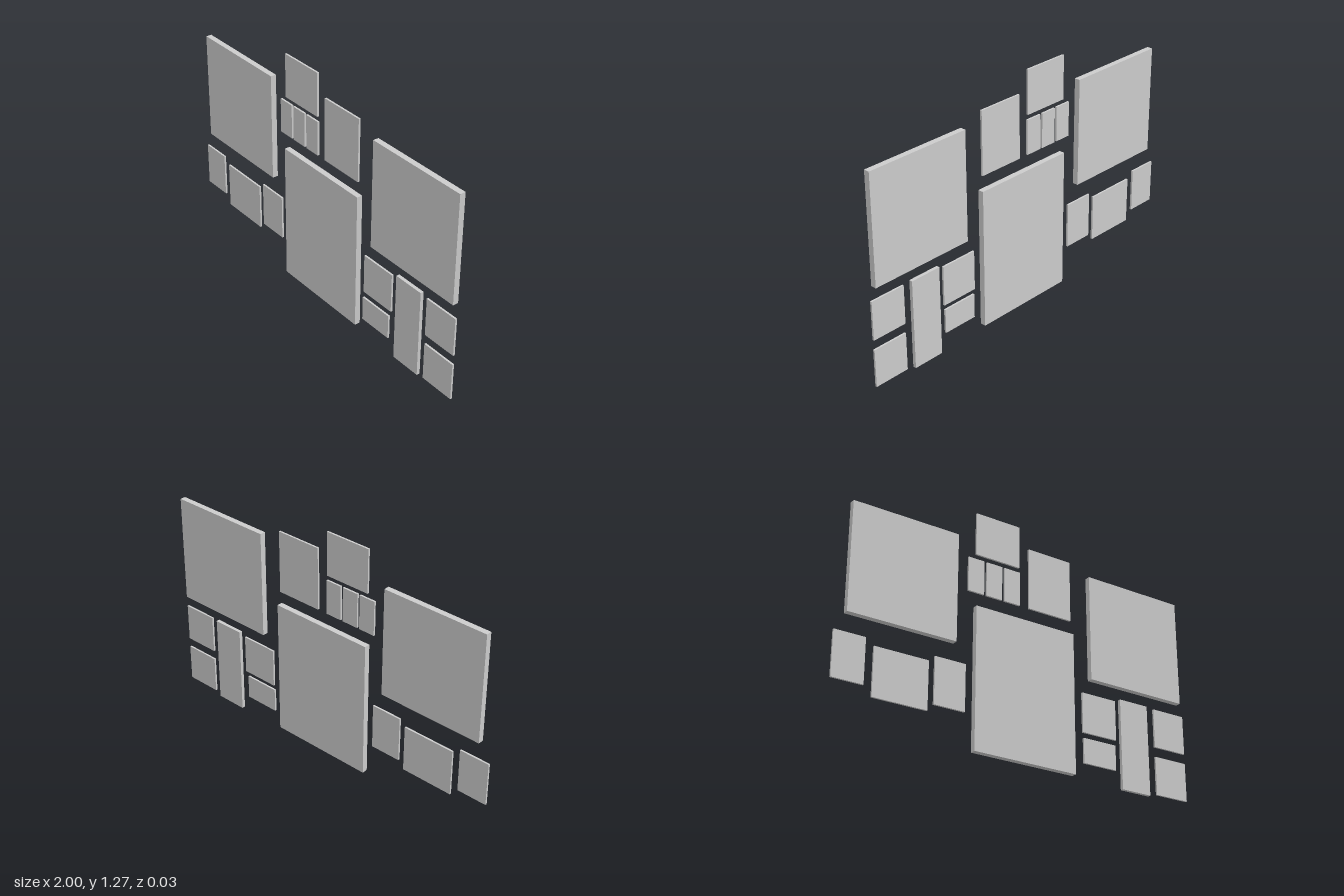
import * as THREE from 'three';

// A flat wall arrangement of plain rectangular panels
export function createModel() {
  const group = new THREE.Group();
  const material = new THREE.MeshStandardMaterial({ color: 0xcccccc });

  // Panel given by its edges, its thickness and the z of its middle
  function panel(name, x0, x1, y0, y1, depth = 0.01, z = 0) {
    const mesh = new THREE.Mesh(new THREE.BoxGeometry(x1 - x0, y1 - y0, depth), material);
    mesh.position.set((x0 + x1) / 2, (y0 + y1) / 2, z);
    mesh.name = name;
    group.add(mesh);
  }

  // Three large thick panels
  panel('largeRightPanel', -0.945, -0.373, 0.537, 1.109, 0.03);
  panel('largeLeftPanel', 0.412, 0.984, 0.537, 1.109, 0.03);
  panel('largeCentrePanel', -0.266, 0.306, 0.018, 0.755, 0.03);

  // Upper cluster
  panel('topPanel', -0.266, -0.014, 1.038, 1.268);
  panel('upperPortraitPanel', 0.044, 0.296, 0.83, 1.161);
  for (let i = 0; i < 3; i++) {
    const x = -0.308 + i * 0.1035;
    panel('smallTrioPanel', x, x + 0.09, 0.83, 1.012);
  }

  // Row of three below the panel on the model's right
  panel('rowOuterPanel', -1, -0.838, 0.21, 0.44);
  panel('rowMiddlePanel', -0.796, -0.512, 0.162, 0.409);
  panel('rowInnerPanel', -0.48, -0.314, 0.2, 0.44);

  // Cluster of five below the panel on the model's left
  panel('clusterUpperInnerPanel', 0.359, 0.562, 0.247, 0.456, 0.01, 0.003);
  panel('clusterLowerInnerPanel', 0.359, 0.552, 0.087, 0.216, 0.01, 0.008);
  panel('clusterTallPanel', 0.594, 0.765, 0, 0.473, 0.018);
  panel('clusterUpperOuterPanel', 0.808, 1, 0.264, 0.468, 0.01, 0.005);
  panel('clusterLowerOuterPanel', 0.808, 1, 0.012, 0.212, 0.01, 0.005);

  return group;
}
